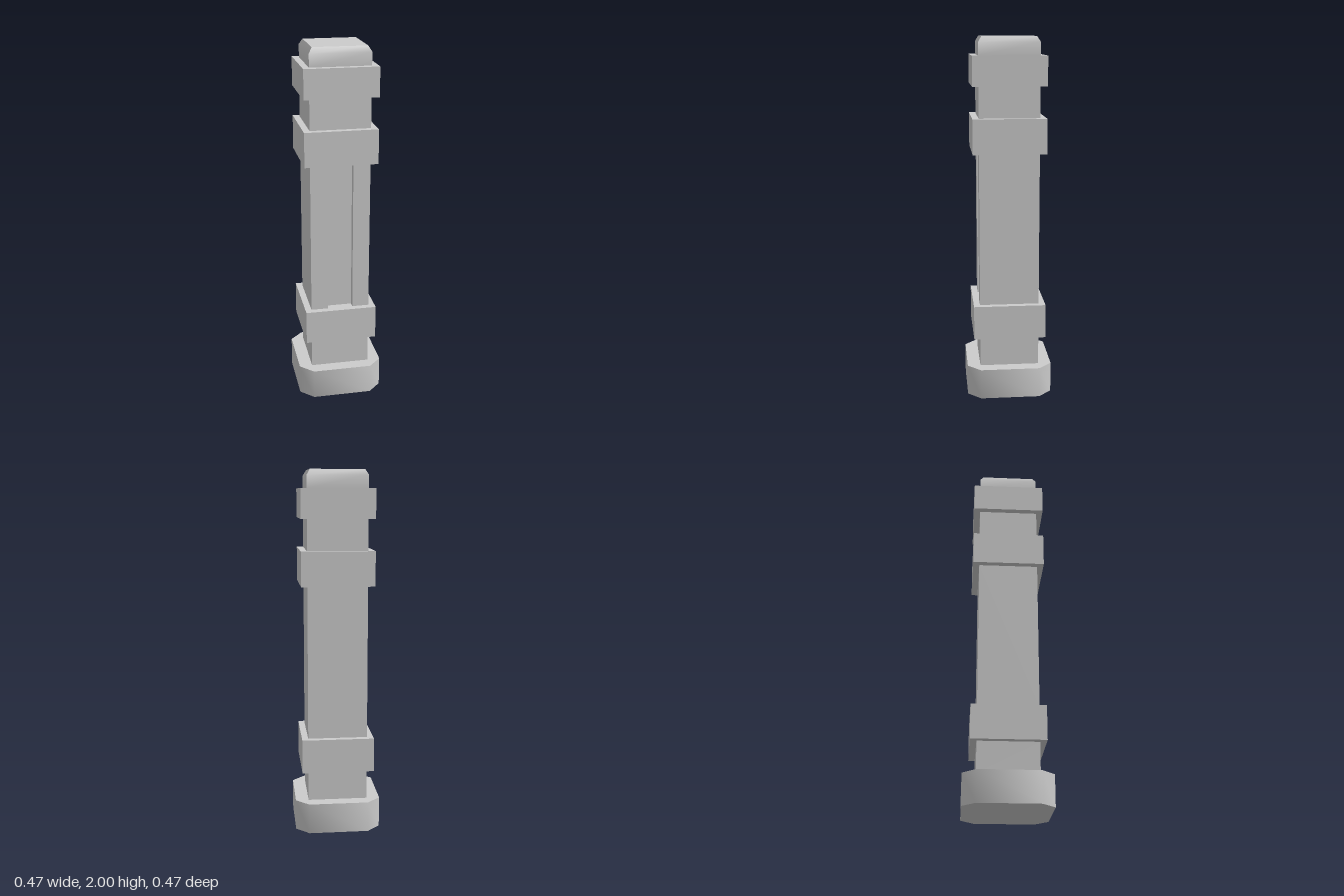
import * as THREE from 'three';
import { toCreasedNormals } from 'three/addons/utils/BufferGeometryUtils.js';

const material = new THREE.MeshStandardMaterial({ color: 0xcccccc });
const SHAFT = 0.165; // half widths
const BAND = 0.2;
const BASE = 0.237;

export function createModel() {
  const group = new THREE.Group();
  group.name = 'post';

  const add = (name, geometry, y = 0) => {
    const mesh = new THREE.Mesh(geometry, material);
    mesh.name = name;
    mesh.position.y = y;
    group.add(mesh);
  };
  const block = (name, half, y0, y1) =>
    add(name, new THREE.BoxGeometry(half * 2, y1 - y0, half * 2), (y0 + y1) / 2);

  // Upright prism from an outline given as [x, z] corners
  const prism = (points, height) => {
    const shape = new THREE.Shape(points.map(([x, z]) => new THREE.Vector2(x, -z)));
    return new THREE.ExtrudeGeometry(shape, { depth: height, bevelEnabled: false }).rotateX(-Math.PI / 2);
  };

  // Base with cut corners, shaded softly around the sides
  const b = BASE, c = SHAFT;
  const octagon = [[b, c], [b, -c], [c, -b], [-c, -b], [-b, -c], [-b, c], [-c, b], [c, b]];
  add('base', toCreasedNormals(prism(octagon, 0.17), Math.PI / 3));

  // Main shaft with a shallow groove down the front
  const s = SHAFT, g = 0.071, floor = s - 0.035;
  const grooved = [[s, s], [s, -s], [-s, -s], [-s, s], [-g, s], [-g, floor], [g, floor], [g, s]];
  add('groovedShaft', prism(grooved, 0.85), 0.53);

  // Plain necks and wider bands
  block('lowerNeck', SHAFT, 0.17, 0.34);
  block('upperNeck', SHAFT, 1.57, 1.74);
  block('lowerBand', BAND, 0.34, 0.53);
  block('middleBand', BAND, 1.38, 1.57);
  block('topBand', BAND, 1.74, 1.9);

  // Cap: a box whose top ring is drawn in to form a soft bevel
  const cap = new THREE.BoxGeometry(SHAFT * 2, 0.1, SHAFT * 2, 1, 2, 1);
  const p = cap.attributes.position;
  for (let i = 0; i < p.count; i++) {
    const y = p.getY(i);
    if (y > 0.01) {
      p.setX(i, Math.sign(p.getX(i)) * 0.147);
      p.setZ(i, Math.sign(p.getZ(i)) * 0.147);
    } else if (y > -0.01) {
      p.setY(i, 0.02);
    }
  }
  add('cap', toCreasedNormals(cap, 0.85), 1.95);

  return group;
}
